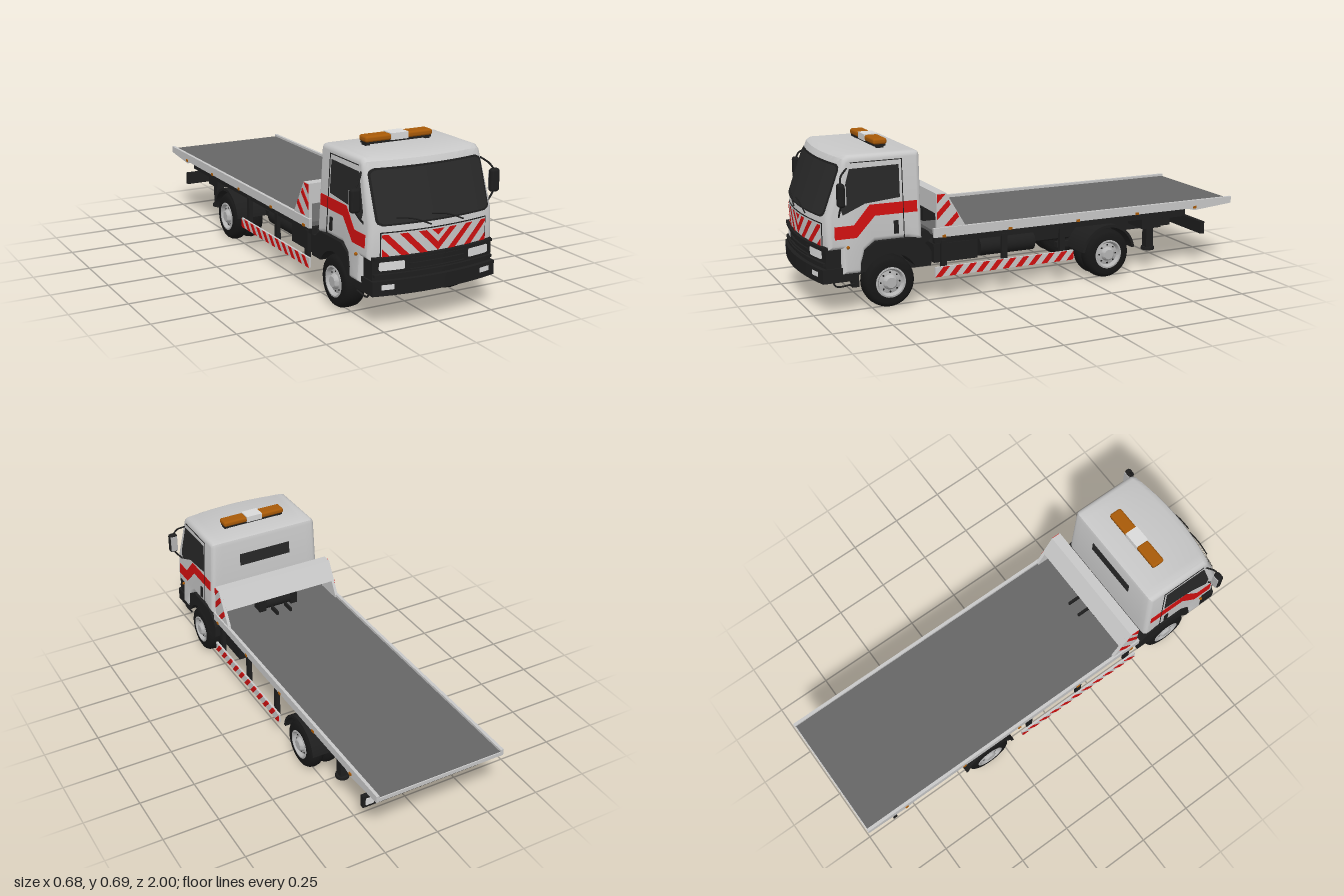
import * as THREE from 'three';
import { toCreasedNormals } from 'three/addons/utils/BufferGeometryUtils.js';
import { RoundedBoxGeometry } from 'three/addons/geometries/RoundedBoxGeometry.js';

const mat = (name, color) => Object.assign(new THREE.MeshStandardMaterial({ color }), { name });
const M = {
  white: mat('white paint', 0xc8c8c8), deck: mat('deck grey', 0x666666), red: mat('red', 0xd01010),
  amber: mat('amber', 0xa85a08), lens: mat('clear lens', 0xdadada), black: mat('black plastic', 0x1e1e1e),
  tyre: mat('tyre rubber', 0x171717), glass: mat('dark glass', 0x282828), silver: mat('wheel silver', 0xb4b4b4),
};
const BEND = 0.45;                                            // forward bow of the nose
const clamp = THREE.MathUtils.clamp;
const halfWidth = (y) => 0.27 + 0.055 * (0.62 - y);           // cab widens downwards
const noseZ = (y) => 0.975 - Math.max(0, y - 0.41) * 0.366;   // raked windscreen

// Moves every vertex by a rule
function warp(geo, rule) {
  const p = geo.attributes.position, v = new THREE.Vector3();
  for (let i = 0; i < p.count; i++) {
    rule(v.fromBufferAttribute(p, i));
    p.setXYZ(i, v.x, v.y, v.z);
  }
  geo.computeVertexNormals();
  return geo;
}
const shapeOf = (pts) => new THREE.Shape(pts.map(([a, b]) => new THREE.Vector2(a, b)));
// Extrudes a (z, y) outline along x, centred on x = 0
function extrudeX(shape, width, opts = {}) {
  const b = opts.bevelThickness || 0;
  return new THREE.ExtrudeGeometry(shape, { depth: width - 2 * b, bevelEnabled: false, curveSegments: 16, ...opts })
    .translate(0, 0, b - width / 2).rotateY(-Math.PI / 2);
}
// Cuts a polygon to lo <= first coordinate <= hi
function clip(pts, lo, hi) {
  for (const [limit, sign] of [[lo, 1], [hi, -1]]) {
    const out = [];
    pts.forEach((a, i) => {
      const b = pts[(i + 1) % pts.length], da = sign * (a[0] - limit), db = sign * (b[0] - limit);
      if (da >= 0) out.push(a);
      if (da * db < 0) out.push([limit, a[1] + (b[1] - a[1]) * da / (da - db)]);
    });
    pts = out;
  }
  return pts;
}

export function createModel() {
  const truck = new THREE.Group();
  truck.name = 'flatbedTruck';
  const add = (name, geo, m, parent = truck) => {
    const mesh = new THREE.Mesh(geo, m);
    mesh.name = name;
    parent.add(mesh);
    return mesh;
  };
  // Box given by its limits
  const box = (name, m, x0, x1, y0, y1, z0, z1) => add(name,
    new THREE.BoxGeometry(x1 - x0, y1 - y0, z1 - z0).translate((x0 + x1) / 2, (y0 + y1) / 2, (z0 + z1) / 2), m);
  const pair = (name, m, x0, x1, ...r) => { box(name, m, x0, x1, ...r); box(name, m, -x1, -x0, ...r); };
  const rod = (name, m, r, ...pts) => add(name, new THREE.TubeGeometry(
    new THREE.CatmullRomCurve3(pts.map((p) => new THREE.Vector3(...p))), 10, r, 8), m);
  const cyl = (name, m, r, len, axis, x, y, z) => {
    const g = new THREE.CylinderGeometry(r, r, len, 24);
    if (axis === 'x') g.rotateZ(Math.PI / 2);
    if (axis === 'z') g.rotateX(Math.PI / 2);
    return add(name, g.translate(x, y, z), m);
  };
  // Same (z, y) plate on both sides; x is a number or a function of y
  const sidePlates = (name, m, pts, x, thick = 0.006) => {
    for (const s of [1, -1]) add(name, warp(extrudeX(shapeOf(pts), thick),
      (v) => { v.x += s * (typeof x === 'function' ? x(v.y) : x); }), m);
  };
  // Bowed sheet on the nose, with optional round corners
  const nosePanel = (name, m, x0, x1, y0, y1, off, r = 0, zAt = noseZ) => {
    const w = (x1 - x0) / 2, cx = (x0 + x1) / 2, cy = (y0 + y1) / 2, h = (y1 - y0) / 2;
    add(name, warp(new THREE.PlaneGeometry(2 * w, 2 * h, 20, 24), (v) => {
      const d = clamp(Math.abs(v.y) - h + r, 0, r);
      v.x = v.x * (w - r + Math.sqrt(r * r - d * d)) / w + cx;
      v.y += cy;
      v.z = zAt(v.y) - BEND * v.x * v.x + off;
    }), m);
  };
  const bowedBox = (name, m, w, y0, y1, z0, z1) => add(name,
    warp(new THREE.BoxGeometry(2 * w, y1 - y0, z1 - z0, 20).translate(0, (y0 + y1) / 2, (z0 + z1) / 2),
      (v) => { v.z -= BEND * v.x * v.x; }), m);

  // Cab shell
  const cab = extrudeX(shapeOf([[0.535, 0.28], [0.57, 0.28], [0.6, 0.29], [0.74, 0.29], [0.78, 0.26], [0.8, 0.21],
    [0.805, 0.165], [0.92, 0.165], [0.92, 0.27], [0.975, 0.27], [0.975, 0.41], [0.9, 0.615], [0.888, 0.637],
    [0.86, 0.65], [0.555, 0.65], [0.54, 0.645], [0.535, 0.63]]), 0.54,
  { steps: 16, bevelEnabled: true, bevelThickness: 0.022, bevelSize: 0.02, bevelOffset: -0.02, bevelSegments: 4 });
  add('cabShell', toCreasedNormals(warp(cab, (v) => {
    v.x *= halfWidth(v.y) / 0.27;
    v.z -= BEND * v.x * v.x * clamp((v.z - 0.8) / 0.1, 0, 1);
  }), 0.6), M.white);
  box('cabFloor', M.black, -0.26, 0.26, 0.268, 0.284, 0.54, 0.8);
  box('cabLowerFloor', M.black, -0.26, 0.26, 0.155, 0.166, 0.79, 0.92);

  // Windows
  nosePanel('windscreenSeal', M.black, -0.259, 0.259, 0.405, 0.614, 0.003, 0.025);
  nosePanel('windscreen', M.glass, -0.25, 0.25, 0.413, 0.607, 0.006, 0.02);
  sidePlates('sideWindow', M.glass, [[0.63, 0.6], [0.63, 0.465], [0.78, 0.452], [0.875, 0.412], [0.885, 0.45],
    [0.84, 0.597]], halfWidth);
  box('rearWindow', M.glass, -0.13, 0.13, 0.505, 0.565, 0.532, 0.54);
  for (const x of [-0.18, -0.03]) {
    const at = (px, y) => [px, y, noseZ(y) - BEND * px * px + 0.012];
    rod('wiper', M.black, 0.003, at(x, 0.435), at(x + 0.07, 0.425), at(x + 0.145, 0.395));
  }

  // Door stripe, seams and handle
  sidePlates('cabStripe', M.red, [[0.556, 0.445], [0.76, 0.445], [0.83, 0.367], [0.912, 0.367], [0.912, 0.315],
    [0.82, 0.315], [0.74, 0.398], [0.556, 0.398]], halfWidth, 0.004);
  sidePlates('doorSeam', M.black, [[0.615, 0.295], [0.618, 0.295], [0.618, 0.62], [0.835, 0.62], [0.835, 0.623],
    [0.615, 0.623]], halfWidth, 0.005);
  sidePlates('doorHandle', M.black, [[0.64, 0.315], [0.66, 0.315], [0.66, 0.37], [0.64, 0.37]], halfWidth, 0.008);

  // Nose panel with chevrons
  nosePanel('nosePanelGap', M.black, -0.243, 0.243, 0.28, 0.381, 0.002);
  nosePanel('nosePanel', M.white, -0.239, 0.239, 0.28, 0.377, 0.004);
  const flats = [[[-0.028, 0.372], [0, 0.347], [0.028, 0.372]]];
  for (let b = -0.035; b < 0.24; b += 0.08) {
    const s = clip([[b, 0.285], [b + 0.034, 0.285], [b + 0.122, 0.372], [b + 0.088, 0.372]], 0, 0.237);
    if (s.length > 2) flats.push(s, s.map(([x, y]) => [-x, y]).reverse());
  }
  for (const pts of flats) add('chevron', warp(new THREE.ShapeGeometry(shapeOf(pts)),
    (v) => { v.z = noseZ(v.y) - BEND * v.x * v.x + 0.007; }), M.red);

  // Grille, bumper and lamps
  bowedBox('grille', M.black, 0.275, 0.19, 0.285, 0.88, 0.982);
  bowedBox('bumper', M.black, 0.282, 0.135, 0.194, 0.87, 1);
  bowedBox('grilleTopRail', M.black, 0.272, 0.274, 0.284, 0.97, 0.994);
  bowedBox('grilleBottomRail', M.black, 0.272, 0.208, 0.219, 0.97, 0.994);
  for (const y of [0.222, 0.245, 0.265]) bowedBox('grilleSlat', M.black, 0.125, y, y + 0.006, 0.97, 0.99);
  for (const s of [1, -1]) {
    nosePanel('headlight', M.lens, s * 0.198 - 0.053, s * 0.198 + 0.053, 0.231, 0.266, 0.004, 0.008, () => 0.982);
    nosePanel('fogLight', M.lens, s * 0.223 - 0.026, s * 0.223 + 0.026, 0.16, 0.181, 0.003, 0.003, () => 1);
    // Mirrors
    add('mirror', new RoundedBoxGeometry(0.042, 0.096, 0.03, 3, 0.012).translate(s * 0.321, 0.503, 0.893), M.black);
    box('mirrorGlass', M.silver, s * 0.321 - 0.016, s * 0.321 + 0.016, 0.465, 0.541, 0.875, 0.88);
    rod('mirrorArm', M.black, 0.004, [s * 0.268, 0.6, 0.85], [s * 0.3, 0.573, 0.885], [s * 0.32, 0.545, 0.893]);
    rod('mirrorArm', M.black, 0.004, [s * 0.32, 0.46, 0.893], [s * 0.3, 0.43, 0.893], [s * 0.274, 0.4, 0.89]);
    add('sideMarker', new THREE.SphereGeometry(0.007, 10, 8).translate(s * 0.295, 0.28, 0.86), M.amber);
    rod('stepBracket', M.black, 0.004, [s * 0.27, 0.165, 0.92], [s * 0.27, 0.118, 0.91], [s * 0.27, 0.118, 0.83]);
  }

  // Roof beacon bar
  box('beaconBase', M.black, -0.15, 0.15, 0.657, 0.666, 0.64, 0.69);
  pair('beaconFoot', M.black, 0.13, 0.15, 0.64, 0.66, 0.65, 0.68);
  for (const s of [1, -1]) add('beacon', new RoundedBoxGeometry(0.12, 0.026, 0.06, 3, 0.01)
    .translate(s * 0.096, 0.677, 0.665), M.amber);
  box('beaconCentre', M.lens, -0.04, 0.04, 0.664, 0.692, 0.634, 0.696);

  // Front wheel arches and rear mudguards
  for (const [name, zc, x0, x1] of [['frontFender', 0.68, 0.16, 0.292], ['rearMudguard', -0.35, 0.15, 0.296]]) {
    let shape;
    if (name === 'frontFender') {
      shape = shapeOf([[-0.18, 0.17], [-0.18, 0.225], [-0.165, 0.25], [-0.115, 0.29], [0.06, 0.29], [0.11, 0.26],
        [0.13, 0.17], [0.108, 0.17]]);
      shape.absarc(0, 0.112, 0.122, 0.5, Math.PI - 0.5, false);
    } else {
      shape = new THREE.Shape().absarc(0, 0.112, 0.134, 0.15, Math.PI - 0.15, false);
      shape.absarc(0, 0.112, 0.122, Math.PI - 0.15, 0.15, true);
    }
    for (const s of [1, -1]) add(name, toCreasedNormals(extrudeX(shape, x1 - x0), 0.5)
      .translate(s * (x0 + x1) / 2, 0, zc), M.black);
  }

  // Wheels
  const wheel = (name, x, z, w, s) => {
    const g = new THREE.Group(), h = w / 2;
    g.name = name;
    const lathe = (part, pts, m) => add(part, toCreasedNormals(new THREE.LatheGeometry(
      pts.map(([r, a]) => new THREE.Vector2(r, a)), 36).rotateZ(-Math.PI / 2), 0.6), m, g);
    lathe('tyre', [[0, -h + 0.01], [0.06, -h + 0.01], [0.064, -h], [0.09, -h], [0.101, -h + 0.006], [0.108, -h + 0.018],
      [0.111, 0], [0.108, h - 0.018], [0.101, h - 0.006], [0.09, h], [0.064, h], [0.06, h - 0.01]], M.tyre);
    lathe('rim', [[0.065, h - 0.006], [0.065, h + 0.002], [0.058, h + 0.003], [0.049, h - 0.012], [0.032, h - 0.008],
      [0.027, h + 0.004], [0.022, h + 0.008], [0, h + 0.008]], M.silver);
    for (let i = 0; i < 8; i++) add('rimHole', new THREE.CylinderGeometry(0.004, 0.004, 0.004, 8).rotateZ(Math.PI / 2)
      .translate(h - 0.01, 0.041 * Math.cos(i * Math.PI / 4), 0.041 * Math.sin(i * Math.PI / 4)), M.black, g);
    g.position.set(s * x, 0.111, z);
    g.rotation.y = s > 0 ? 0 : Math.PI;
    truck.add(g);
  };
  for (const s of [1, -1]) {
    wheel('frontWheel', 0.245, 0.68, 0.092, s);
    wheel('rearOuterWheel', 0.257, -0.35, 0.07, s);
    wheel('rearInnerWheel', 0.183, -0.35, 0.07, s);
  }

  // Chassis, axles and running gear
  pair('chassisRail', M.black, 0.09, 0.125, 0.165, 0.25, -0.78, 0.9);
  pair('subframeRail', M.black, 0.1, 0.16, 0.245, 0.287, -0.76, 0.485);
  for (let z = -0.7; z < 0.5; z += 0.2) {
    box('deckCrossmember', M.black, -0.282, 0.282, 0.25, 0.286, z - 0.015, z + 0.015);
    box('chassisCrossmember', M.black, -0.1, 0.1, 0.18, 0.23, z - 0.02, z + 0.02);
  }
  pair('deckSideBeam', M.black, 0.255, 0.282, 0.25, 0.276, -0.76, 0.48);
  for (const z of [0.68, -0.35]) cyl('axle', M.black, 0.022, 0.44, 'x', 0, 0.111, z);
  add('differential', new THREE.SphereGeometry(0.055, 18, 12).translate(0, 0.111, -0.35), M.black);
  cyl('driveShaft', M.black, 0.016, 0.8, 'z', 0, 0.14, 0.05);
  box('engine', M.black, -0.085, 0.085, 0.1, 0.27, 0.42, 0.86);
  pair('springHanger', M.black, 0.12, 0.15, 0.065, 0.17, 0.77, 0.8);
  for (const z of [0.68, -0.35]) pair('leafSpring', M.black, 0.115, 0.14, 0.125, 0.15, z - 0.18, z + 0.18);
  pair('equipmentBox', M.black, 0.125, 0.27, 0.165, 0.245, 0.28, 0.48);
  for (const s of [1, -1]) {
    cyl('fuelTank', M.black, 0.042, 0.26, 'z', s * 0.2, 0.195, 0.12);
    cyl('airCylinder', M.black, 0.026, 0.05, 'x', s * 0.21, 0.275, 0.505);
  }
  box('rearCabCrossbeam', M.black, -0.2, 0.2, 0.2, 0.29, 0.49, 0.53);

  // Loading deck
  box('deckFloor', M.deck, -0.29, 0.29, 0.287, 0.306, -0.995, 0.485);
  sidePlates('deckRail', M.white, [[0.49, 0.28], [0.49, 0.32], [-1, 0.316], [-1, 0.286], [-0.8, 0.27], [-0.76, 0.28]],
    0.293, 0.014);
  box('deckTailEdge', M.white, -0.29, 0.29, 0.287, 0.304, -1, -0.994);
  for (const z of [0.445, 0.14, -0.19, -0.49, -0.8]) pair('deckMarker', M.amber, 0.298, 0.304, 0.279, 0.29, z - 0.008, z + 0.008);

  // Headboard and winch
  sidePlates('headboardLeg', M.white, [[0.475, 0.3], [0.475, 0.465], [0.43, 0.465], [0.345, 0.32], [0.345, 0.3]], 0.286, 0.014);
  add('headboardBeam', extrudeX(shapeOf([[0.475, 0.465], [0.43, 0.465], [0.379, 0.38], [0.388, 0.375], [0.436, 0.453],
    [0.466, 0.453], [0.466, 0.38], [0.475, 0.38]]), 0.56), M.white);
  for (const pts of [[[0.472, 0.462], [0.435, 0.462], [0.472, 0.425]], [[0.472, 0.385], [0.472, 0.355], [0.412, 0.415], [0.421, 0.436]],
    [[0.44, 0.325], [0.41, 0.325], [0.375, 0.36], [0.384, 0.381]]]) sidePlates('headboardStripe', M.red, pts, 0.293, 0.006);
  cyl('winchDrum', M.black, 0.03, 0.14, 'x', 0, 0.335, 0.43);
  pair('winchEnd', M.black, 0.065, 0.1, 0.305, 0.365, 0.4, 0.46);
  pair('winchGuide', M.black, 0.03, 0.04, 0.306, 0.325, 0.34, 0.4);

  // Striped side guards
  pair('sideGuard', M.white, 0.288, 0.298, 0.11, 0.152, -0.17, 0.485);
  for (let z = -0.2; z < 0.48; z += 0.062) {
    const pts = clip([[z, 0.152], [z + 0.028, 0.152], [z + 0.065, 0.11], [z + 0.037, 0.11]], -0.17, 0.485);
    sidePlates('sideGuardStripe', M.red, pts, 0.298, 0.004);
  }
  for (const z of [-0.12, 0.16, 0.44]) pair('sideGuardBracket', M.black, 0.27, 0.288, 0.115, 0.26, z - 0.012, z + 0.012);

  // Tail arms, light bar and stabilisers
  pair('tailArm', M.black, 0.08, 0.13, 0.2, 0.238, -0.86, -0.74);
  box('tailCrossbeam', M.black, -0.25, 0.25, 0.195, 0.25, -0.65, -0.55);
  box('tailLightBar', M.black, -0.28, 0.28, 0.148, 0.205, -0.87, -0.85);
  for (let i = 0; i < 3; i++) pair('tailLight', M.lens, 0.145 + i * 0.043, 0.182 + i * 0.043, 0.16, 0.193, -0.873, -0.869);
  for (const s of [1, -1]) {
    box('stabiliserLeg', M.black, s * 0.22 - 0.018, s * 0.22 + 0.018, 0.1, 0.25, -0.618, -0.582);
    cyl('stabiliserFoot', M.black, 0.03, 0.014, 'y', s * 0.22, 0.097, -0.6);
  }
  return truck;
}
